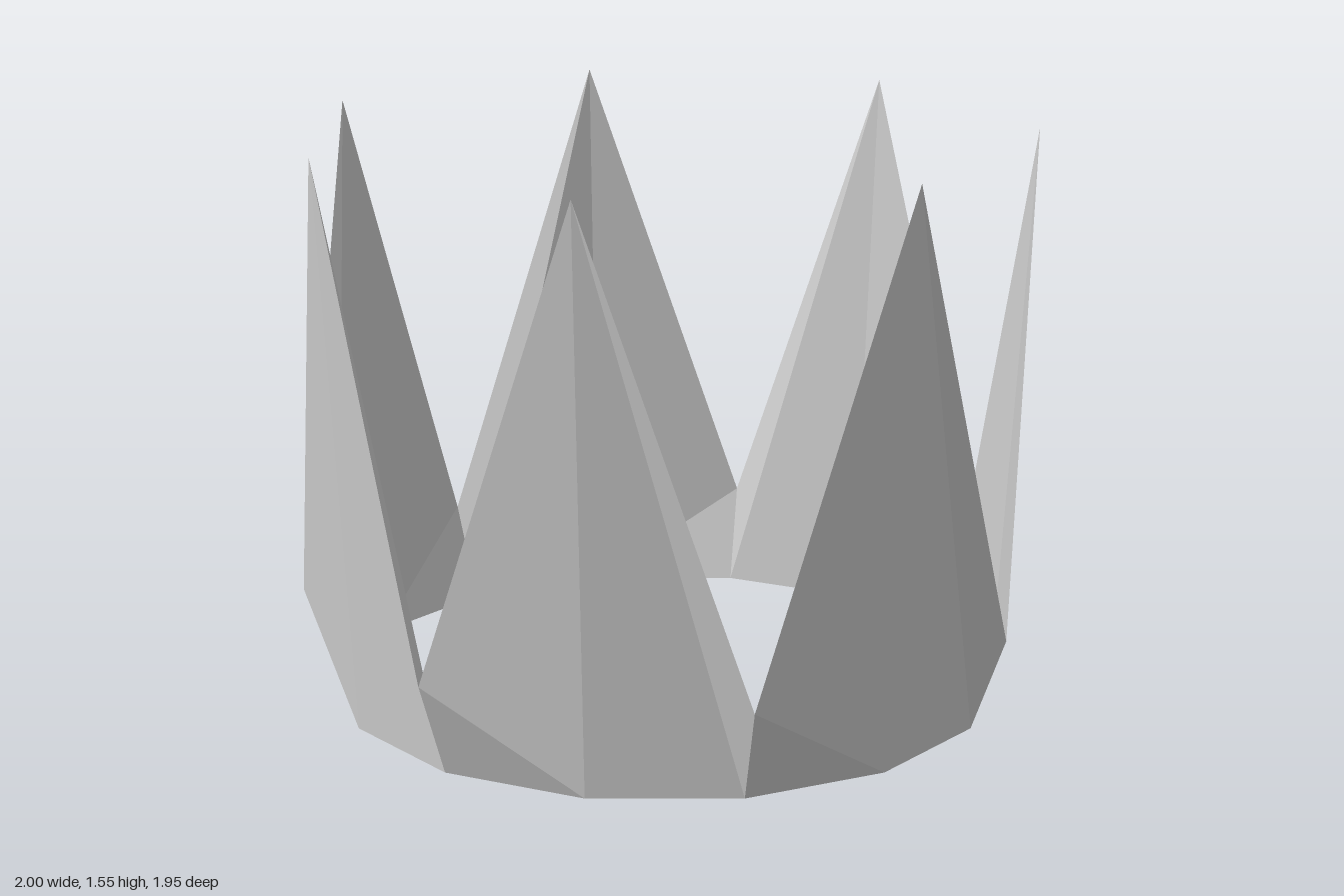
import * as THREE from 'three';

const SIDES = 14;          // seven points and seven valleys
const BASE_RADIUS = 0.907;
const PEAK_Y = 1.555;
const VALLEY_Y = 0.26;

// Point on a ring, step k counted from +x towards +z
function ringPoint(k, radius, y) {
  const a = (k / SIDES) * Math.PI * 2;
  return [radius * Math.cos(a), y, radius * Math.sin(a)];
}

const rim = (k) => ringPoint(k, 1, k % 2 === 0 ? PEAK_Y : VALLEY_Y);
const base = (k) => ringPoint(k, BASE_RADIUS, 0);

// Open band with a flared zigzag rim, two facets per side
function crownGeometry() {
  const positions = [];
  for (let k = 1; k <= SIDES; k++) {
    positions.push(...rim(k), ...base(k), ...base(k - 1));
    positions.push(...rim(k), ...base(k - 1), ...rim(k - 1));
  }
  const geometry = new THREE.BufferGeometry();
  geometry.setAttribute('position', new THREE.Float32BufferAttribute(positions, 3));
  geometry.computeVertexNormals();
  return geometry;
}

export function createModel() {
  const grey = new THREE.MeshStandardMaterial({
    color: 0xcccccc,
    flatShading: true,
    side: THREE.DoubleSide,
  });
  grey.name = 'lightGrey';

  const band = new THREE.Mesh(crownGeometry(), grey);
  band.name = 'crownBand';

  const group = new THREE.Group();
  group.name = 'crown';
  group.add(band);
  return group;
}
